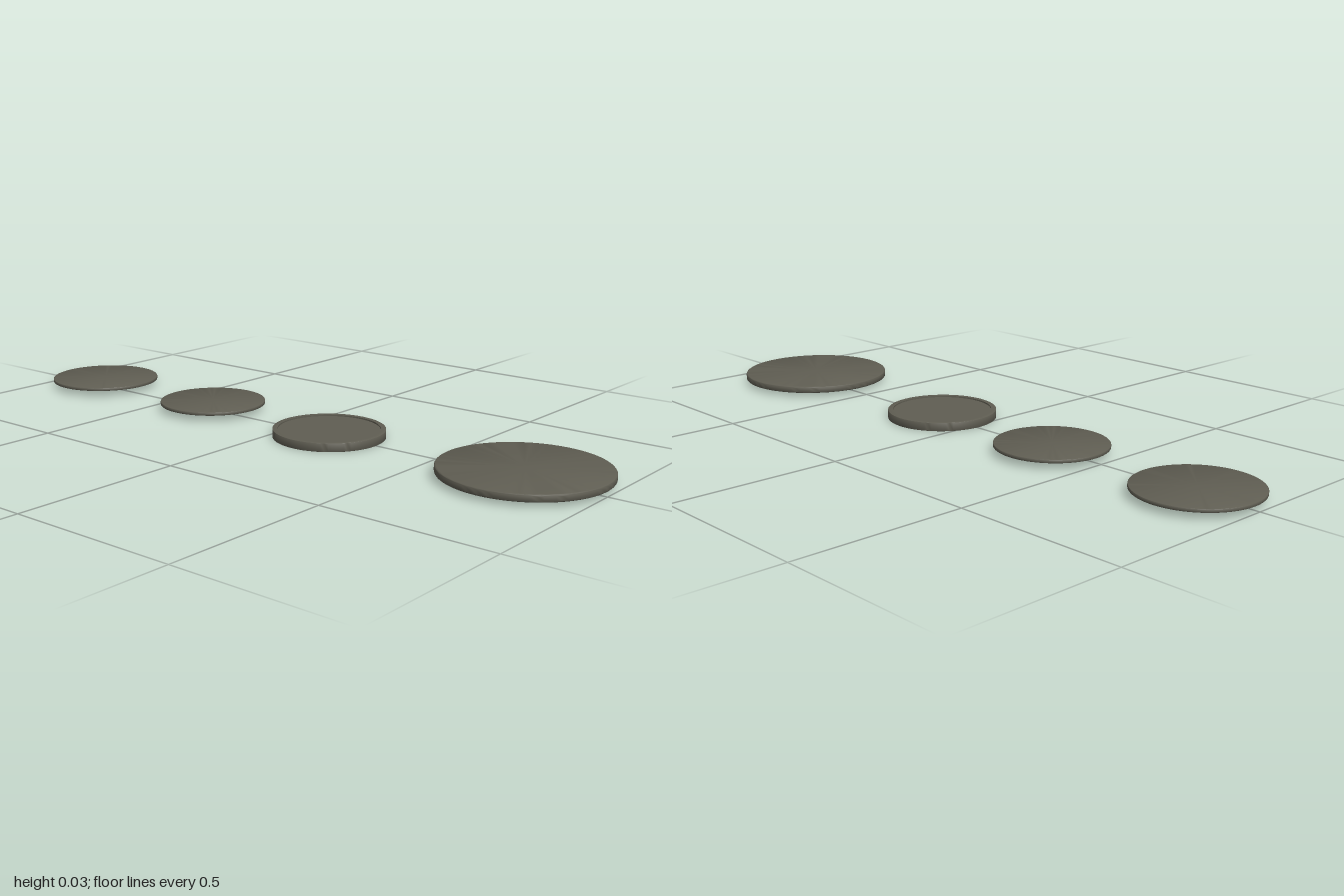
import * as THREE from 'three';
import { toCreasedNormals } from 'three/addons/utils/BufferGeometryUtils.js';

const material = new THREE.MeshStandardMaterial({ color: 0x5f5d52 });

// Solid round plate with rounded edges; rim > 0 sinks the top inside a raised lip.
function plate(name, { x, z, radius, bottom, top, round, rim = 0, depth = 0 }) {
  const profile = [new THREE.Vector2(0, bottom)];
  const corner = (cy, from) => {
    for (let i = 0; i <= 4; i++) {
      const a = from + (i / 4) * (Math.PI / 2);
      profile.push(new THREE.Vector2(radius - round + Math.cos(a) * round, cy + Math.sin(a) * round));
    }
  };
  corner(bottom + round, -Math.PI / 2);
  corner(top - round, 0);
  if (rim) {
    profile.push(new THREE.Vector2(radius - rim, top));
    profile.push(new THREE.Vector2(radius - rim, top - depth));
  }
  profile.push(new THREE.Vector2(0, top - depth));

  const geometry = toCreasedNormals(new THREE.LatheGeometry(profile, 96), Math.PI / 5);
  const mesh = new THREE.Mesh(geometry, material);
  mesh.name = name;
  mesh.position.set(x, 0, z);
  return mesh;
}

export function createModel() {
  const group = new THREE.Group();
  group.name = 'roundPlates';
  group.add(
    plate('thinPlate', { x: -0.829, z: -0.018, radius: 0.171, bottom: 0.018, top: 0.028, round: 0.002 }),
    plate('smallPlate', { x: -0.333, z: -0.014, radius: 0.161, bottom: 0.018, top: 0.028, round: 0.002 }),
    // Taller plate with a shallow recess
    plate('rimmedPlate', { x: 0.141, z: 0.006, radius: 0.162, bottom: 0, top: 0.025, round: 0.001, rim: 0.015, depth: 0.004 }),
    plate('largePlate', { x: 0.77, z: 0, radius: 0.23, bottom: 0.012, top: 0.033, round: 0.005 })
  );
  return group;
}
